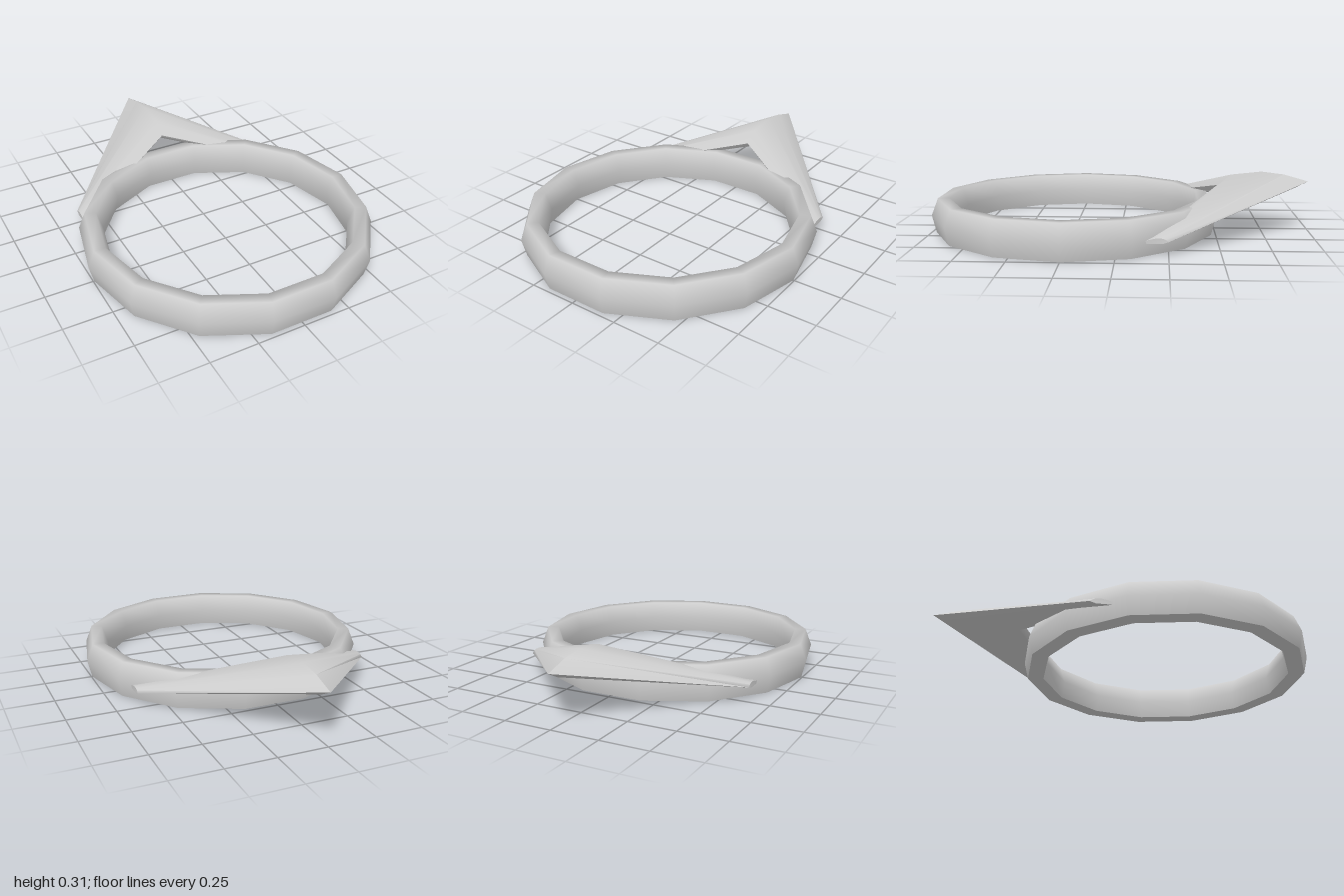
import * as THREE from 'three';
import { toCreasedNormals } from 'three/addons/utils/BufferGeometryUtils.js';

const SIDES = 14;

// One turned strip of the band, with a vertex on the x axis
function turned(profile, material, name) {
  const points = profile.map(([r, y]) => new THREE.Vector2(r, y));
  const mesh = new THREE.Mesh(
    new THREE.LatheGeometry(points, SIDES, Math.PI / SIDES, Math.PI * 2), material);
  mesh.name = name;
  return mesh;
}

// Skin through matching cross-sections of [z, y] points at rising x, with end caps
function loft(sections) {
  const n = sections[0].points.length;
  const positions = [];
  const index = [];
  for (const { x, points } of sections)
    for (const [z, y] of points) positions.push(x, y, z);
  for (let i = 0; i < sections.length - 1; i++) {
    for (let j = 0; j < n; j++) {
      const k = (j + 1) % n;
      const a = i * n + j, b = i * n + k, c = b + n, d = a + n;
      index.push(a, b, c, a, c, d);
    }
  }
  const last = (sections.length - 1) * n;
  for (let j = 1; j < n - 1; j++) {
    index.push(0, j + 1, j);
    index.push(last, last + j, last + j + 1);
  }
  const geometry = new THREE.BufferGeometry();
  geometry.setAttribute('position', new THREE.Float32BufferAttribute(positions, 3));
  geometry.setIndex(index);
  return toCreasedNormals(geometry, 1.0);
}

export function createModel() {
  const model = new THREE.Group();
  model.name = 'pointedCirclet';
  const metal = new THREE.MeshStandardMaterial({ color: 0xcccccc });
  metal.name = 'pale grey metal';

  // Fourteen-sided band: rounded sides and top, flat underside
  const band = new THREE.Group();
  band.name = 'band';
  band.add(
    turned([[0.745, 0], [0.767, 0.092], [0.732, 0.182], [0.672, 0.182], [0.642, 0.092], [0.66, 0]],
      metal, 'bandBody'),
    turned([[0.66, 0], [0.745, 0]], metal, 'bandUnderside'));
  band.position.z = 0.25;
  model.add(band);

  // Chevron crest: thick at the middle, thinning and dropping to each wing end
  const middle = [[-1, 0.26], [-0.87, 0.297], [-0.75, 0.312], [-0.59, 0.295],
    [-0.515, 0.237], [-0.54, 0.21], [-0.93, 0.225]];
  const wingEnd = [[-0.25, 0.075], [-0.235, 0.086], [-0.22, 0.091], [-0.19, 0.092],
    [-0.14, 0.08], [-0.145, 0.065], [-0.22, 0.065]];
  const crest = new THREE.Mesh(loft([
    { x: -0.64, points: wingEnd },
    { x: 0, points: middle },
    { x: 0.64, points: wingEnd },
  ]), metal);
  crest.name = 'chevronCrest';
  model.add(crest);

  return model;
}
